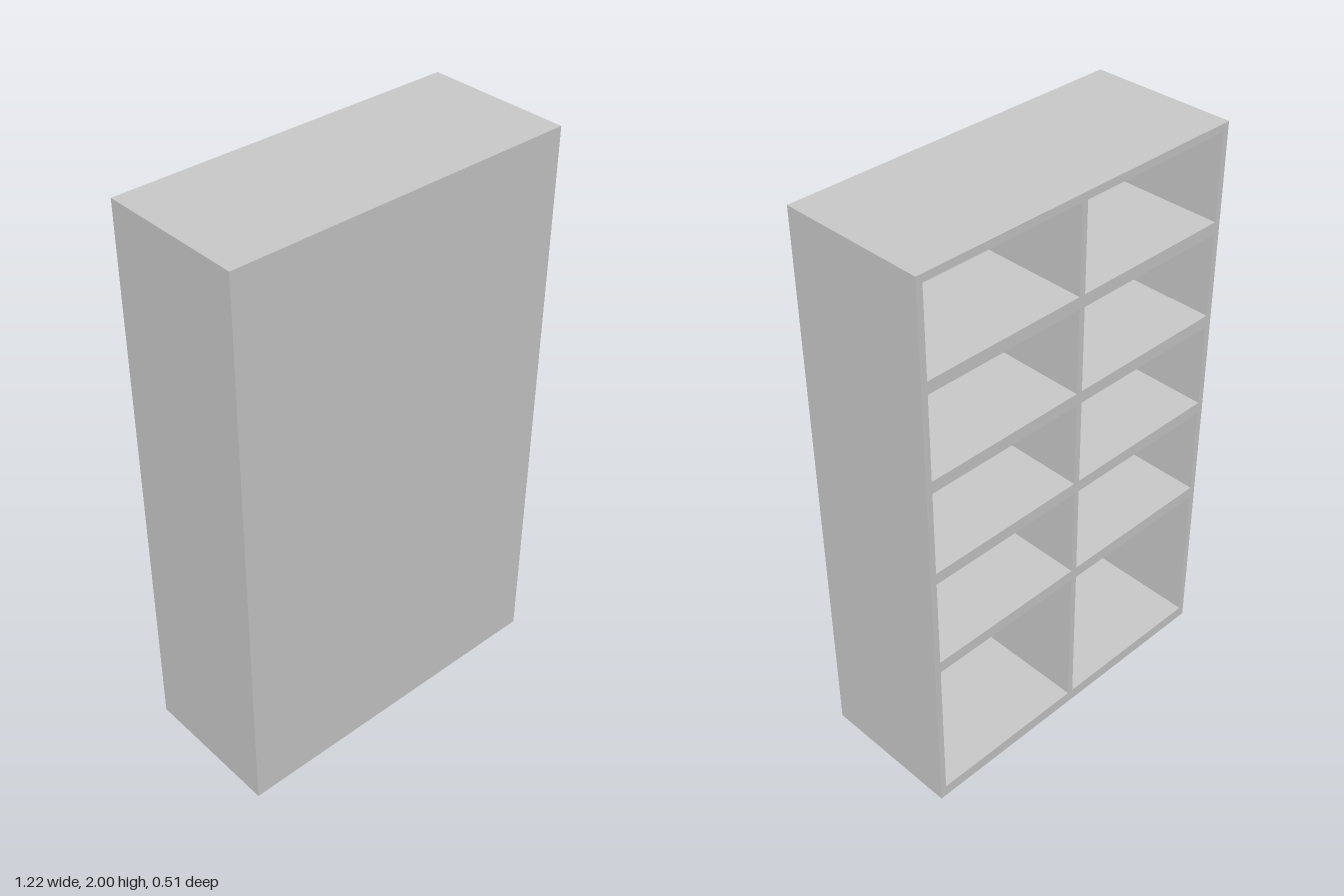
import * as THREE from 'three';

const W = 1.224, H = 2, D = 0.51; // overall size
const PANEL = 0.01;               // thin closing panel at +z
const SIDE = 0.022;               // uprights
const material = new THREE.MeshStandardMaterial({ color: 0xcccccc, flatShading: true });

export function createModel() {
  const group = new THREE.Group();
  group.name = 'bookcase';

  // Box given by its min and max corners
  const board = (name, x0, x1, y0, y1, z0, z1) => {
    const mesh = new THREE.Mesh(new THREE.BoxGeometry(x1 - x0, y1 - y0, z1 - z0), material);
    mesh.position.set((x0 + x1) / 2, (y0 + y1) / 2, (z0 + z1) / 2);
    mesh.name = name;
    group.add(mesh);
  };

  const zOpen = -D / 2, zPanel = D / 2 - PANEL;
  const inner = W / 2 - SIDE;

  // Closing panel, uprights and central divider
  board('closingPanel', -W / 2, W / 2, 0, H, zPanel, D / 2);
  board('leftSide', inner, W / 2, 0, H, zOpen, zPanel);
  board('rightSide', -W / 2, -inner, 0, H, zOpen, zPanel);

  // Base and top boards between the sides
  const base = 0.043, top = 1.973;
  board('baseBoard', -inner, inner, 0, base, zOpen, zPanel);
  board('topBoard', -inner, inner, top, H, zOpen, zPanel);
  board('divider', -SIDE / 2, SIDE / 2, base, top, zOpen, zPanel);

  // Shelves in both bays: [underside, upper face]
  const shelves = [[0.582, 0.624], [0.949, 0.991], [1.292, 1.335], [1.63, 1.673]];
  shelves.forEach(([y0, y1], i) => {
    board(`leftShelf${i + 1}`, SIDE / 2, inner, y0, y1, zOpen, zPanel);
    board(`rightShelf${i + 1}`, -inner, -SIDE / 2, y0, y1, zOpen, zPanel);
  });

  return group;
}
